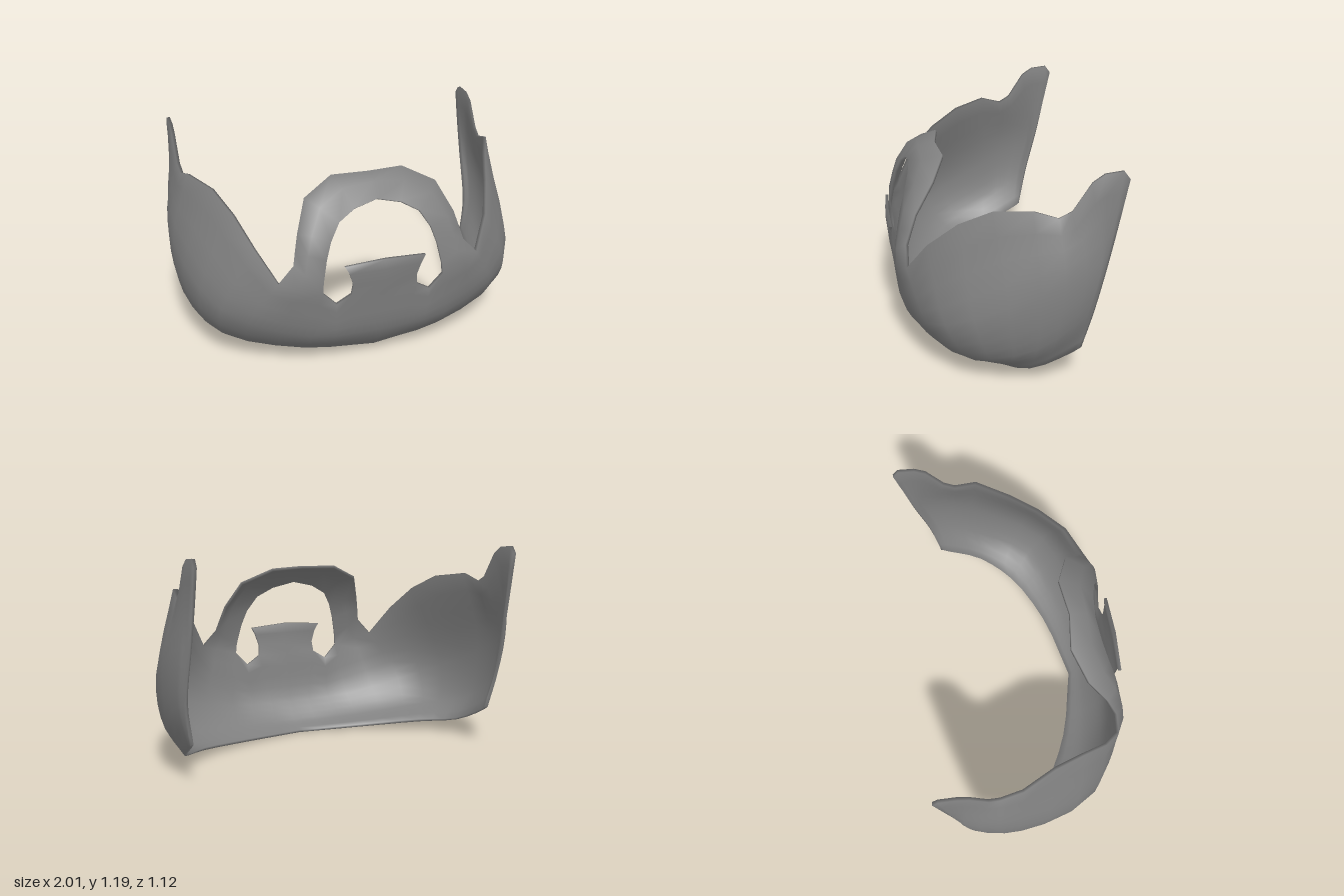
import * as THREE from 'three';
import { mergeVertices } from 'three/addons/utils/BufferGeometryUtils.js';

const V = (p) => new THREE.Vector3(...p);
const flip = (p) => new THREE.Vector3(-p.x, p.y, p.z);
const curve = (points) => new THREE.CatmullRomCurve3(points);

// Mirrors a half list of rows (centre first) into a full list running from -x to +x
const mirrorRows = (rows) => [...rows.slice(1).reverse().map((r) => r.map(flip)), ...rows];

// Triangles of a grid of points: rows run to the right, points in a row run up
function patch(rows, out) {
  for (let i = 0; i < rows.length - 1; i++) {
    for (let j = 0; j < rows[i].length - 1; j++) {
      const a = rows[i][j], b = rows[i + 1][j], c = rows[i + 1][j + 1], d = rows[i][j + 1];
      for (const p of [a, b, c, a, c, d]) out.push(p.x, p.y, p.z);
    }
  }
}

// Joins the patches, then gives the sheet a thickness and closes every open edge with a soft rim
function solidify(triangles, thickness) {
  let sheet = new THREE.BufferGeometry();
  sheet.setAttribute('position', new THREE.Float32BufferAttribute(triangles, 3));
  sheet = mergeVertices(sheet, 1e-3);
  sheet.computeVertexNormals();
  const { position, normal } = sheet.attributes;
  const n = position.count, index = [...sheet.index.array];
  const outer = [], inner = [];
  for (let i = 0; i < n; i++) {
    const p = new THREE.Vector3().fromBufferAttribute(position, i);
    const dir = new THREE.Vector3().fromBufferAttribute(normal, i);
    outer.push(p);
    inner.push(p.clone().addScaledVector(dir, -thickness));
  }
  const faces = [...index];
  const edges = new Set();
  for (let t = 0; t < index.length; t += 3) {
    const [a, b, c] = index.slice(t, t + 3);
    faces.push(a + n, c + n, b + n);
    for (const [p, q] of [[a, b], [b, c], [c, a]]) edges.add(p * n + q);
  }
  for (const e of edges) {
    const a = Math.floor(e / n), b = e % n;
    if (!edges.has(b * n + a)) faces.push(b, a, a + n, b, a + n, b + n);
  }
  const geometry = new THREE.BufferGeometry().setFromPoints([...outer, ...inner]);
  geometry.setIndex(faces);
  geometry.computeVertexNormals();
  return geometry;
}

// Wrap-around band: three smooth rails and a jagged top edge, centre to rear, joined by ribs
function bandRows() {
  const bottom = [[0, 0.005, 0.33], [0.4, 0.022, 0.225], [0.7, 0.06, 0.06],
    [0.862, 0.1, -0.12], [0.9, 0.205, -0.33], [0.905, 0.235, -0.372]];
  const low = [[0, 0.06, 0.41], [0.4, 0.08, 0.36], [0.82, 0.165, 0.19],
    [0.968, 0.28, -0.13], [0.965, 0.45, -0.375], [0.935, 0.46, -0.42]];
  const middle = [[0, 0.2, 0.5], [0.39, 0.22, 0.48], [0.835, 0.38, 0.31],
    [0.995, 0.6, -0.14], [0.965, 0.75, -0.435], [0.925, 0.76, -0.488]];
  const top = [[0, 0.46, 0.545], [0.185, 0.47, 0.54], [0.265, 0.42, 0.53], [0.34, 0.5, 0.535],
    [0.475, 0.537, 0.5275], [0.565, 0.57, 0.48], [0.66, 0.74, 0.38], [0.73, 0.88, 0.23],
    [0.8, 0.97, 0.07], [0.895, 1, -0.11], [0.912, 0.965, -0.23], [0.918, 1, -0.29],
    [0.92, 1.14, -0.38], [0.92, 1.18, -0.44], [0.92, 1.19, -0.53], [0.92, 1.15, -0.56]];
  const rails = [bottom, low, middle].map((rail) => curve(rail.map(V)));
  return mirrorRows(top.map((p, i) => {
    const rib = rails.map((rail) => rail.getPoint(i / (top.length - 1)));
    return curve([...rib, V(p)]).getPoints(12);
  }));
}

// Arch over the front: inner and outer edges with a bulge between, centre to foot
function archRows() {
  const inner = [[0, 0.945, 0.42], [0.13, 0.915, 0.435], [0.225, 0.86, 0.46], [0.28, 0.77, 0.49],
    [0.31, 0.68, 0.51], [0.335, 0.56, 0.53], [0.34, 0.5, 0.535]];
  const outer = [[0, 1.045, 0.275], [0.2, 1.04, 0.25], [0.37, 0.96, 0.32], [0.44, 0.81, 0.42],
    [0.462, 0.73, 0.45], [0.48, 0.66, 0.476], [0.565, 0.57, 0.48]];
  return mirrorRows(inner.map((p, i) => {
    const a = V(p), b = V(outer[i]), mid = a.clone().lerp(b, 0.5);
    mid.add(new THREE.Vector3(mid.x * 0.05, (mid.y - 0.5) * 0.06, 0.02));
    return [a, mid, b];
  }));
}

// Flared tab standing inside the arch: centre line and one side
function tabRows() {
  const centre = [[0, 0.46, 0.545], [0, 0.53, 0.555], [0, 0.6, 0.562], [0, 0.66, 0.562]];
  const side = [[0.185, 0.47, 0.54], [0.178, 0.53, 0.55], [0.2, 0.6, 0.556], [0.225, 0.645, 0.553]];
  return mirrorRows([centre.map(V), side.map(V)]);
}

export function createModel() {
  const group = new THREE.Group();
  group.name = 'faceGuard';
  const triangles = [];
  for (const rows of [bandRows(), archRows(), tabRows()]) patch(rows, triangles);
  const shell = new THREE.Mesh(
    solidify(triangles, 0.018),
    new THREE.MeshStandardMaterial({ color: 0x808080 }),
  );
  shell.name = 'guardShell';
  group.add(shell);
  return group;
}
